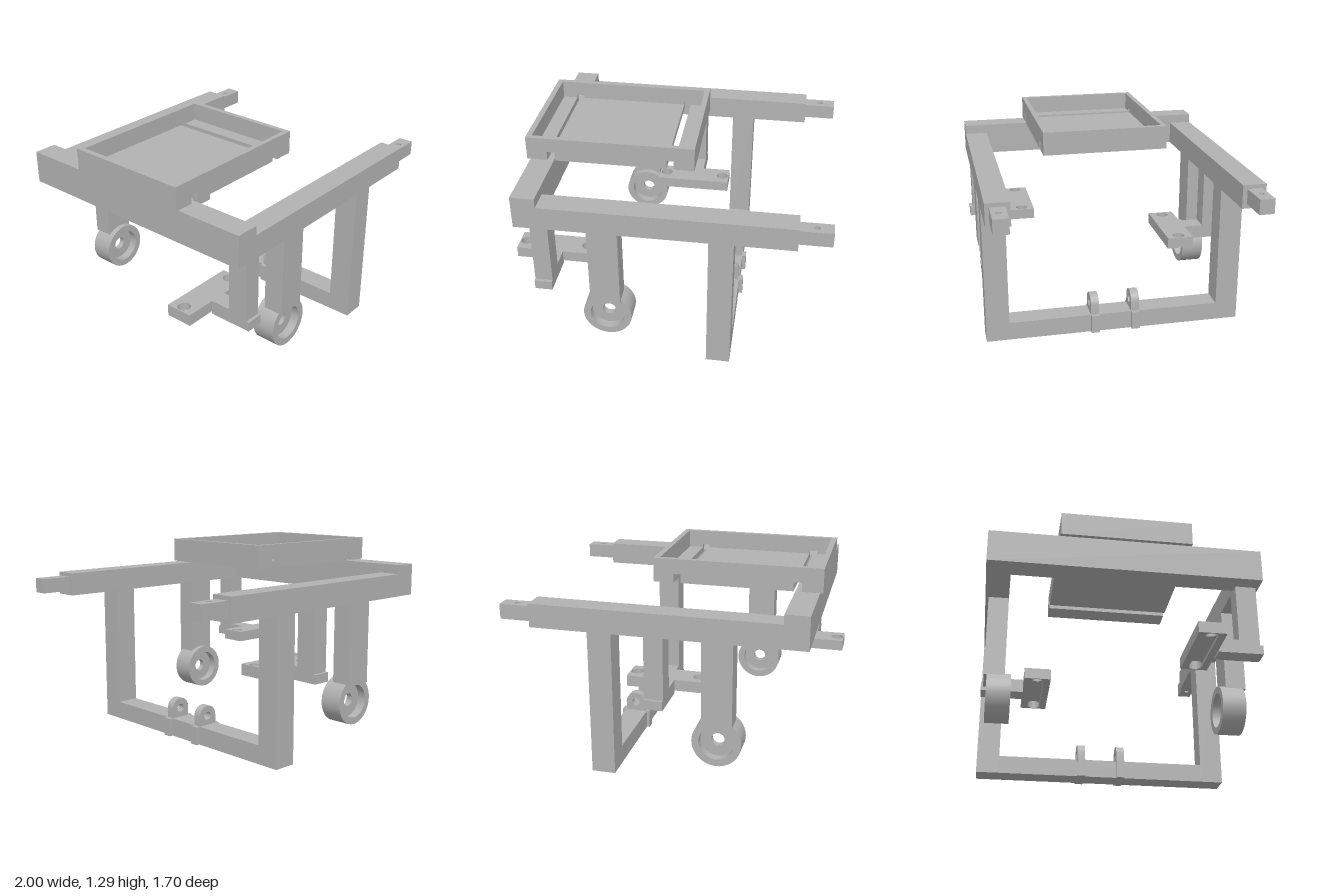
import * as THREE from 'three';
import { toCreasedNormals } from 'three/addons/utils/BufferGeometryUtils.js';

export function createModel() {
  const model = new THREE.Group();
  model.name = 'wheeledFrame';
  const grey = new THREE.MeshStandardMaterial({ color: 0xb2b2b2 });
  grey.name = 'grey';

  function add(name, geometry, parent = model) {
    const mesh = new THREE.Mesh(geometry, grey);
    mesh.name = name;
    parent.add(mesh);
    return mesh;
  }
  // Box given by its limits on each axis
  function box(name, x0, x1, y0, y1, z0, z1, parent) {
    const mesh = add(name, new THREE.BoxGeometry(x1 - x0, y1 - y0, z1 - z0), parent);
    mesh.position.set((x0 + x1) / 2, (y0 + y1) / 2, (z0 + z1) / 2);
    return mesh;
  }
  // The same box on the +z or -z side
  const sideBox = (name, s, x0, x1, y0, y1, z0, z1, parent) =>
    box(name, x0, x1, y0, y1, Math.min(s * z0, s * z1), Math.max(s * z0, s * z1), parent);

  function extrude(shape, depth) {
    const g = new THREE.ExtrudeGeometry(shape, { depth, bevelEnabled: false, curveSegments: 24 });
    return toCreasedNormals(g, 0.6);
  }
  function rectangle(w, h) {
    return new THREE.Shape([[-w, -h], [w, -h], [w, h], [-w, h]].map(([x, y]) => new THREE.Vector2(x / 2, y / 2)));
  }
  const circle = (x, y, r) => new THREE.Path().absarc(x, y, r, 0, Math.PI * 2, true);
  // Horizontal plate centred on x, z, with its underside at y
  function plate(name, shape, x, y, z, thickness, parent) {
    const mesh = add(name, extrude(shape, thickness).rotateX(-Math.PI / 2), parent);
    mesh.position.set(x, y, z);
  }

  // Wheel: tyre with a thin web recessed on both sides
  const wheelProfile = [[0.042, -0.02], [0.11, -0.02], [0.11, -0.075], [0.155, -0.075],
    [0.155, 0.075], [0.11, 0.075], [0.11, 0.02], [0.042, 0.02], [0.042, -0.02]]
    .map(([x, y]) => new THREE.Vector2(x, y));
  const wheelGeometry = toCreasedNormals(new THREE.LatheGeometry(wheelProfile, 48), 0.6).rotateX(Math.PI / 2);

  // Main frame
  box('rearBeam', -0.9, -0.75, 0.93, 1.14, -0.85, 0.85);
  box('lowerCrossbar', 0.28, 0.43, 0, 0.12, -0.7, 0.7);
  for (const s of [1, -1]) {
    sideBox('sideRail', s, -0.75, 0.8, 0.93, 1.08, 0.7, 0.85);
    sideBox('leg', s, 0.28, 0.43, 0, 0.93, 0.7, 0.85);

    const tip = rectangle(0.2, 0.095);
    tip.holes.push(circle(0, 0, 0.018));
    plate('railTip', tip, 0.9, 0.96, s * 0.777, 0.095);

    sideBox('wheelPost', s, -0.46, -0.27, 0.385, 0.93, 0.7, 0.83);
    add('wheel', wheelGeometry).position.set(-0.36, 0.27, s * 0.735);
  }

  // Hanging brackets with drilled plates, grooved underneath
  function hanger(s, x0, x1, plateX) {
    const group = new THREE.Group();
    group.name = 'hanger';
    model.add(group);
    sideBox('hangerPost', s, x0, x1, 0.465, 0.93, 0.7, 0.83, group);
    sideBox('hangerArm', s, x0, x1, 0.465, 0.555, 0.57, 0.7, group);
    sideBox('hangerFoot', s, x0, x1, 0.465, 0.525, 0.83, 0.85, group);

    const top = rectangle(0.503, 0.172);
    top.holes.push(circle(-0.205, 0, 0.04), circle(0.205, 0, 0.04));
    plate('hangerPlate', top, plateX, 0.503, s * 0.485, 0.052, group);

    const groove = new THREE.Path();
    groove.absarc(0.205, 0, 0.04, Math.PI / 2, -Math.PI / 2, true);
    groove.absarc(-0.205, 0, 0.04, -Math.PI / 2, -Math.PI * 1.5, true);
    const bottom = rectangle(0.503, 0.172);
    bottom.holes.push(groove);
    plate('hangerPlateUnderside', bottom, plateX, 0.483, s * 0.485, 0.02, group);
  }
  hanger(1, -0.805, -0.695, -0.75);
  hanger(-1, -0.035, 0.085, 0.028);

  // Hinge lugs strapped round the lower crossbar
  const lug = new THREE.Shape();
  lug.moveTo(-0.068, 0.12);
  lug.lineTo(0.068, 0.12);
  lug.absarc(0, 0.18, 0.068, 0, Math.PI, false);
  lug.closePath();
  lug.holes.push(circle(0, 0.18, 0.027));
  for (const z of [-0.138, 0.134]) {
    box('lugStrap', 0.26, 0.455, 0, 0.12, z - 0.027, z + 0.027);
    add('hingeLug', extrude(lug, 0.054)).position.set(0.357, 0, z - 0.027);
  }

  // Tray: notched long walls, end walls and a floor split by two slots
  const tray = new THREE.Group();
  tray.name = 'tray';
  model.add(tray);
  const slots = [[-0.79, -0.74], [-0.035, 0.01]];
  const low = 1.143, notch = 1.2, high = 1.295;
  const wall = new THREE.Shape();
  wall.moveTo(-0.92, low);
  for (const [a, b] of slots) {
    wall.lineTo(a, low);
    wall.lineTo(a, notch);
    wall.lineTo(b, notch);
    wall.lineTo(b, low);
  }
  wall.lineTo(0.14, low);
  wall.lineTo(0.14, high);
  wall.lineTo(-0.92, high);
  wall.closePath();
  for (const z of [-0.41, 0.378]) add('trayLongWall', extrude(wall, 0.032), tray).position.z = z;
  for (const x of [-0.92, 0.105]) box('trayEndWall', x, x + 0.035, low, high, -0.378, 0.378, tray);
  for (const [a, b] of [[-0.885, -0.79], [-0.74, -0.035], [0.01, 0.105]]) {
    box('trayFloor', a, b, low, 1.18, -0.378, 0.378, tray);
  }

  return model;
}
